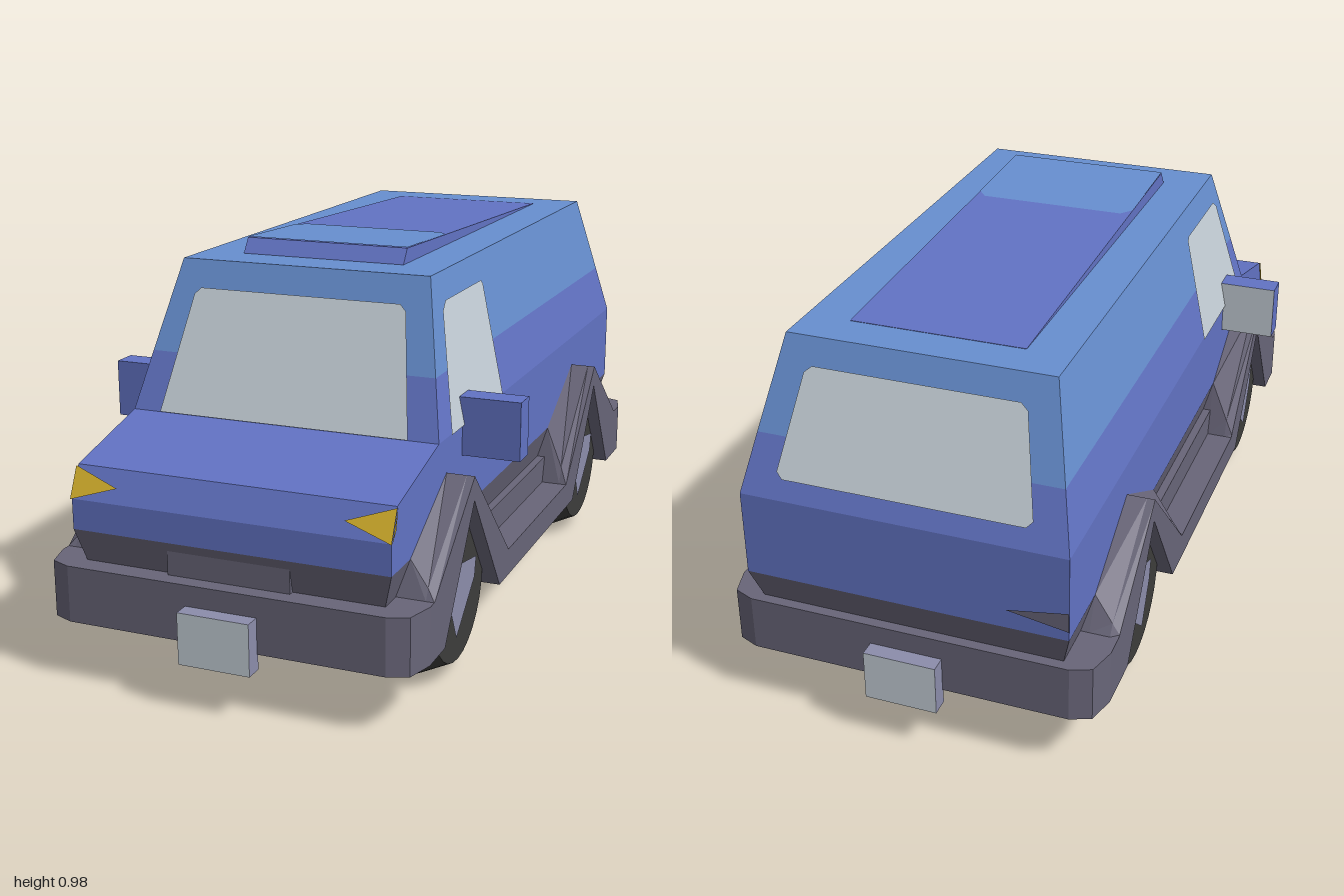
import * as THREE from 'three';
import { toCreasedNormals } from 'three/addons/utils/BufferGeometryUtils.js';

const mat = (name, color, double) => {
  const m = new THREE.MeshStandardMaterial({ color });
  m.name = name;
  if (double) m.side = THREE.DoubleSide;
  return m;
};

// Joins closed rings of [x, y, z] and caps the last one; rings run
// counter-clockwise seen from the last ring's side.
function loft(rings, flatten) {
  const p = [];
  for (let r = 0; r + 1 < rings.length; r++) {
    const a = rings[r], b = rings[r + 1];
    a.forEach((_, i) => {
      const j = (i + 1) % a.length;
      p.push(...a[i], ...a[j], ...b[j], ...a[i], ...b[j], ...b[i]);
    });
  }
  const end = rings[rings.length - 1];
  const flat = end.map((q) => new THREE.Vector2(...flatten(q)));
  for (const t of THREE.ShapeUtils.triangulateShape(flat, [])) t.forEach((i) => p.push(...end[i]));
  return fromPositions(p);
}

function fromPositions(p) {
  const g = new THREE.BufferGeometry();
  g.setAttribute('position', new THREE.Float32BufferAttribute(p, 3));
  g.computeVertexNormals();
  return g;
}

// Rectangular sections [y, halfWidth, frontZ, backZ], bottom to top
const stack = (levels) => loft(
  levels.map(([y, w, f, b]) => [[w, y, f], [w, y, b], [-w, y, b], [-w, y, f]]),
  ([x, , z]) => [x, -z]);

// Side profile of [z, y] points swept across the width
function prism(points, halfWidth) {
  const shape = new THREE.Shape(points.map((q) => new THREE.Vector2(...q)));
  const g = new THREE.ExtrudeGeometry(shape, { depth: halfWidth * 2, bevelEnabled: false });
  return g.rotateY(-Math.PI / 2).translate(halfWidth, 0, 0);
}

// Flat convex panel from its outline
function panel(points) {
  const p = [];
  for (let i = 1; i + 1 < points.length; i++) p.push(...points[0], ...points[i], ...points[i + 1]);
  return fromPositions(p);
}

// Mirrored copy across x with the faces turned the right way
function mirrored(g) {
  const m = g.index ? g.toNonIndexed() : g.clone();
  m.scale(-1, 1, 1);
  const a = m.attributes.position;
  const u = new THREE.Vector3(), v = new THREE.Vector3();
  for (let i = 0; i < a.count; i += 3) {
    u.fromBufferAttribute(a, i + 1);
    v.fromBufferAttribute(a, i + 2);
    a.setXYZ(i + 1, v.x, v.y, v.z);
    a.setXYZ(i + 2, u.x, u.y, u.z);
  }
  m.computeVertexNormals();
  return m;
}

export function createModel() {
  const car = new THREE.Group();
  car.name = 'van';
  const lightBlue = mat('lightBlue', 0x678fd0, true);
  const blue = mat('blue', 0x6273c4);
  const grey = mat('trimGrey', 0x686578, true);
  const glass = mat('paleGlass', 0xc6d0d8, true);
  const yellow = mat('lampYellow', 0xd4b02c, true);
  const rubber = mat('rubber', 0x3d3d3b);
  const metal = mat('hubMetal', 0x8c8dab, true);

  const add = (name, geometry, material) => {
    const m = new THREE.Mesh(geometry, material);
    m.name = name;
    car.add(m);
    return m;
  };
  const pair = (name, geometry, material) => {
    add(name + 'Left', geometry, material);
    add(name + 'Right', mirrored(geometry), material);
  };
  const box = (w, h, d, x, y, z) => new THREE.BoxGeometry(w, h, d).translate(x, y, z);

  // Body shell: lower blue hull, blue belt, light blue cabin top
  add('lowerBody', prism([[0.925, 0.37], [0.925, 0.445], [0.89, 0.52], [0.63, 0.585],
    [-0.96, 0.585], [-0.96, 0.37]].reverse(), 0.4), blue);
  add('beltBody', stack([[0.585, 0.4, 0.63, -0.96], [0.725, 0.371, 0.576, -0.906]]), blue);
  add('cabinTop', stack([[0.725, 0.371, 0.576, -0.906], [0.945, 0.325, 0.49, -0.82]]), lightBlue);

  // Grey underbody, bumper core and grille
  add('underbody', stack([[0.22, 0.36, 0.89, -0.91], [0.37, 0.4, 0.925, -0.96]]), grey);
  add('chassis', box(0.8, 0.14, 1.92, 0, 0.22, 0), grey);
  add('grille', box(0.31, 0.08, 0.04, 0, 0.33, 0.9), grey);

  // Side trim with pointed wheel arches, chamfered into the bumpers
  const trimRing = (x, end, t) => {
    const s = (z0, y0, z1, y1) => [z0 + (z1 - z0) * t, y0 + (y1 - y0) * t];
    return [
      [end, 0.15], [0.77, 0.15], [0.575, 0.44], [0.365, 0.15],
      [-0.33, 0.15], [-0.535, 0.44], [-0.73, 0.15], [-end, 0.15],
      [-end, 0.29], [-0.815, 0.29], s(-0.805, 0.294, -0.775, 0.37), [-0.535, 0.5],
      s(-0.257, 0.226, -0.29, 0.37), [-0.25, 0.22],
      [0.295, 0.22], s(0.301, 0.226, 0.33, 0.37), [0.575, 0.5],
      s(0.838, 0.294, 0.81, 0.37), [0.845, 0.29], [end, 0.29],
    ].map(([z, y]) => [x, y, z]);
  };
  pair('sideTrim', loft([trimRing(0.36, 0.96, 1), trimRing(0.4, 0.96, 1),
    trimRing(0.45, 0.94, 0.28), trimRing(0.47, 0.87, 0)], ([, y, z]) => [-z, y]), grey);

  // Wheels with angular hub plates
  const tyreProfile = [[0, -0.125], [0.175, -0.125], [0.21, -0.05], [0.21, 0.05],
    [0.175, 0.125], [0, 0.125]].map((q) => new THREE.Vector2(...q));
  const hubOutline = [[0.095, 0.055], [0.03, 0.075], [-0.11, 0.05], [-0.1, 0],
    [0, -0.085], [0.03, -0.11], [0.085, 0]];
  for (const [name, z] of [['front', 0.575], ['rear', -0.535]]) {
    const tyre = new THREE.LatheGeometry(tyreProfile, 28).rotateZ(Math.PI / 2);
    const tyreGeo = toCreasedNormals(tyre, 0.4);
    for (const side of [1, -1]) {
      const label = name + (side > 0 ? 'Left' : 'Right');
      add(label + 'Tyre', tyreGeo, rubber).position.set(side * 0.31, 0.21, z);
    }
    pair(name + 'Hub', panel(hubOutline.map(([dz, dy]) => [0.44, 0.21 + dy, z + dz]).reverse()), metal);
  }

  // Windows lying just above the sloping cabin faces
  const slope = (y) => (y - 0.585) / 0.36;
  const symmetric = (half) => [...half, ...half.map(([x, y]) => [-x, y]).reverse()];
  add('windshield', panel(symmetric([[0.325, 0.587], [0.278, 0.865], [0.262, 0.88]])
    .map(([x, y]) => [x, y, 0.636 - 0.14 * slope(y)])), glass);
  add('rearWindow', panel(symmetric([[0.295, 0.635], [0.31, 0.65], [0.268, 0.87], [0.25, 0.885]])
    .map(([x, y]) => [x, y, -0.966 + 0.14 * slope(y)]).reverse()), glass);
  pair('sideWindow', panel([[0.555, 0.587], [0.165, 0.587], [0.165, 0.87], [0.175, 0.88],
    [0.44, 0.88], [0.468, 0.86]].map(([z, y]) => [0.406 - 0.075 * slope(y), y, z])), glass);

  // Headlamps on the nose slope, with a small wrap onto the side
  pair('headlamp', panel([[0.285, 0.48], [0.402, 0.445], [0.402, 0.518]]
    .map(([x, y]) => [x, y, 0.93 - (y - 0.445) * 0.467])), yellow);
  pair('headlampSide', panel([[0.403, 0.445, 0.928], [0.403, 0.47, 0.905], [0.403, 0.518, 0.893]]), yellow);
  add('rearNotch', panel([[-0.25, 0.42, -0.963], [-0.4, 0.395, -0.963], [-0.4, 0.445, -0.963]]), grey);

  // Wedge-shaped roof panel with a lighter front
  add('roofPanel', prism([[0.38, 0.94], [0.38, 0.946], [0.355, 0.982], [-0.72, 0.946],
    [-0.72, 0.94]].reverse(), 0.215), blue);
  add('roofPanelFront', panel([[-0.215, 0.984, 0.355], [0.215, 0.984, 0.355],
    [0.215, 0.974, 0.08], [0.19, 0.973, 0.05], [-0.19, 0.973, 0.05], [-0.215, 0.974, 0.08]]), lightBlue);

  // Wing mirrors with pale rear faces, and number plates
  for (const side of [1, -1]) {
    add(side > 0 ? 'mirrorLeft' : 'mirrorRight', box(0.155, 0.145, 0.065, side * 0.467, 0.583, 0.433),
      [blue, blue, blue, blue, blue, glass]);
    add(side > 0 ? 'frontPlate' : 'rearPlate', box(0.18, 0.127, 0.045, 0, 0.175, side * 0.9775),
      [metal, metal, metal, metal, glass, glass]);
  }
  return car;
}
